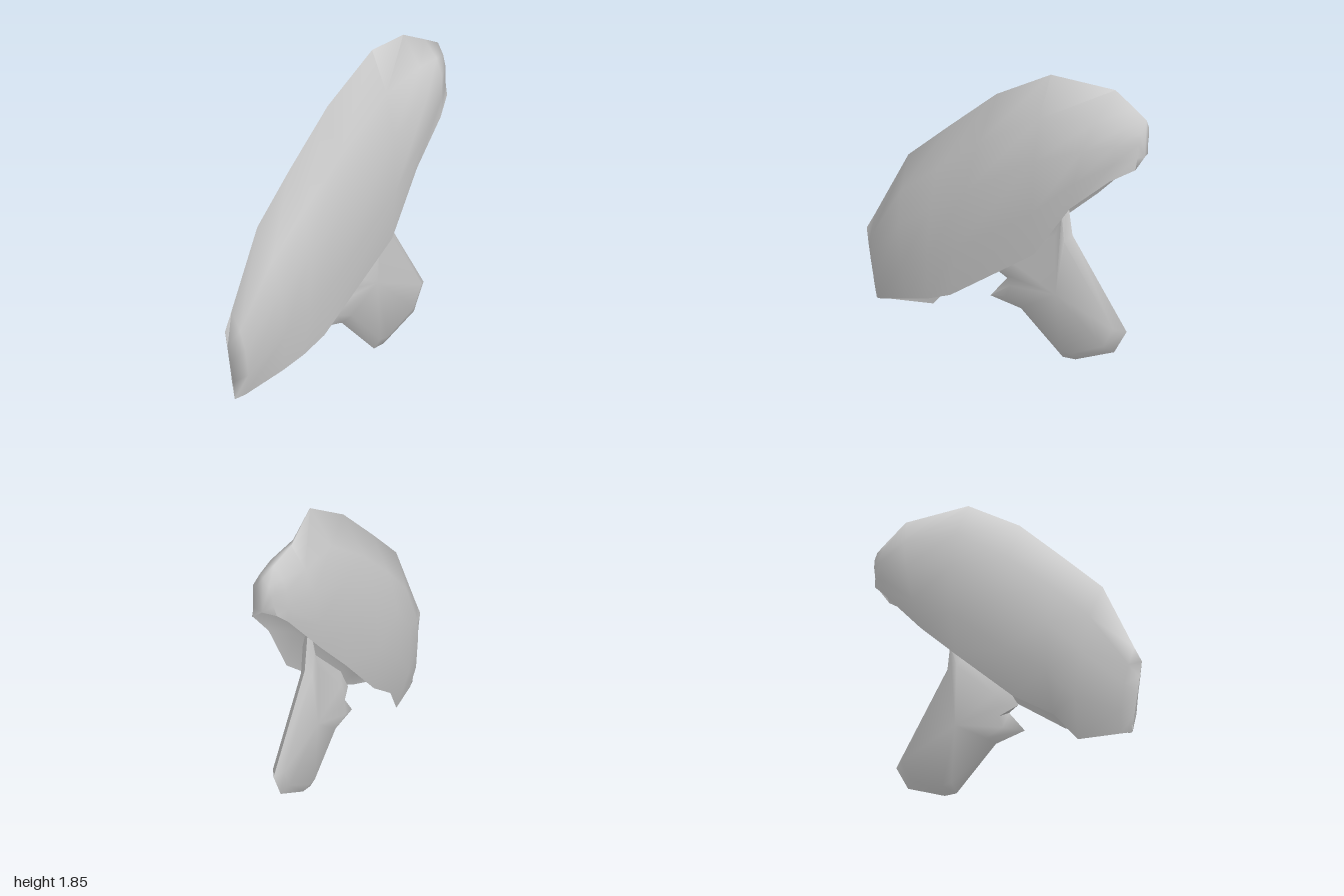
import * as THREE from 'three';
import { toCreasedNormals } from 'three/addons/utils/BufferGeometryUtils.js';

const material = new THREE.MeshStandardMaterial({ color: 0xcccccc, side: THREE.DoubleSide });
const vec = (p) => new THREE.Vector3(...p);

// Skin between rings of equal length; each ring is closed.
function skin(rings, crease) {
  const n = rings[0].length, index = [];
  for (let i = 0; i < rings.length - 1; i++) {
    for (let j = 0; j < n; j++) {
      const k = (j + 1) % n;
      const a = i * n + j, b = i * n + k, c = a + n, d = b + n;
      index.push(a, b, c, b, d, c);
    }
  }
  const geo = new THREE.BufferGeometry().setFromPoints(rings.flat());
  geo.setIndex(index);
  return toCreasedNormals(geo, crease);
}

// One section of the cap: ridge, bulging front, front lip, hollow, back lip, bulging back.
function capSection([ridge, frontLip, backLip, wf, wb, hollow]) {
  const t = vec(ridge), f = vec(frontLip), b = vec(backLip);
  const at = (lip, s, z) => {
    const p = t.clone().lerp(lip, s);
    p.z = z;
    return p;
  };
  const middle = f.clone().lerp(b, 0.5);
  const shoulder = hollow + 0.1;
  return [
    t,
    at(f, 0.22, t.z + (wf - t.z) * 0.62), at(f, 0.45, t.z + (wf - t.z) * 0.94), at(f, 0.75, wf),
    f,
    at(f, shoulder, f.z * 0.7), at(middle, hollow, (wf + wb) / 2), at(b, shoulder, b.z * 0.7),
    b,
    at(b, 0.75, wb), at(b, 0.45, t.z + (wb - t.z) * 0.94), at(b, 0.22, t.z + (wb - t.z) * 0.62),
  ];
}

export function createModel() {
  const group = new THREE.Group();

  // Hollow cap: ridge point, front lip, back lip, front and back half width, height of the hollow
  const stations = [
    [[-1, 0.44, 0], [-0.92, 0.01, 0.01], [-0.92, 0.01, 0.01], 0.01, 0.005, 0.8],
    [[-0.94, 0.55, 0], [-0.87, 0.035, 0.05], [-0.85, 0.015, -0.01], 0.085, -0.04, 0.8],
    [[-0.7, 1.01, 0], [-0.62, 0.14, 0.13], [-0.57, 0.04, -0.07], 0.16, -0.135, 0.8],
    [[-0.4, 1.29, 0], [-0.45, 0.2, 0.15], [-0.42, 0.23, -0.11], 0.182, -0.175, 0.8],
    [[-0.06, 1.6, 0.01], [-0.28, 0.28, 0.165], [-0.14, 0.42, -0.15], 0.2, -0.2, 0.78],
    [[0.34, 1.85, 0.02], [0.33, 0.73, 0.18], [0.27, 0.8, -0.18], 0.2, -0.2, 0.68],
    [[0.74, 1.83, -0.07], [0.58, 1.1, 0.165], [0.55, 1.06, -0.165], 0.182, -0.182, 0.6],
    [[0.9, 1.77, -0.04], [0.84, 1.34, 0.13], [0.88, 1.4, -0.12], 0.125, -0.125, 0.65],
    [[1, 1.73, -0.02], [0.98, 1.43, 0.065], [0.96, 1.47, -0.09], 0.05, -0.075, 0.7],
  ];
  const capRings = stations.map(capSection);
  // Close the pointed end
  capRings.push(capRings[0].map(() => vec([0.995, 1.49, -0.01])));
  const cap = new THREE.Mesh(skin(capRings, 2.3), material);
  cap.name = 'cap';
  group.add(cap);

  // Thin stem: outer edge points [x, y] paired with the edge of the flat faces
  const edge = [
    [-0.12, 0.25, 0.02, 0.3], [0.1, 0.23, 0.15, 0.27], [0.4, 0, 0.41, 0.06], [0.49, 0.01, 0.48, 0.06],
    [0.77, 0.14, 0.72, 0.18], [0.86, 0.3, 0.79, 0.31], [0.47, 0.82, 0.44, 0.78], [0.42, 1.15, 0.42, 0.95],
    [0.35, 0.87, 0.37, 0.8], [0.02, 0.58, 0.08, 0.53], [-0.07, 0.43, 0.03, 0.44], [0, 0.4, 0.05, 0.38],
  ];
  const face = (z) => edge.map((p) => vec([p[2], p[3], z]));
  const centre = (z) => edge.map(() => vec([0.38, 0.42, z]));
  const rim = edge.map((p) => vec([p[0], p[1], -0.015]));
  const stem = new THREE.Mesh(skin([centre(-0.055), face(-0.05), rim, face(0.025), centre(0.03)], 1), material);
  stem.name = 'stem';
  group.add(stem);

  return group;
}
